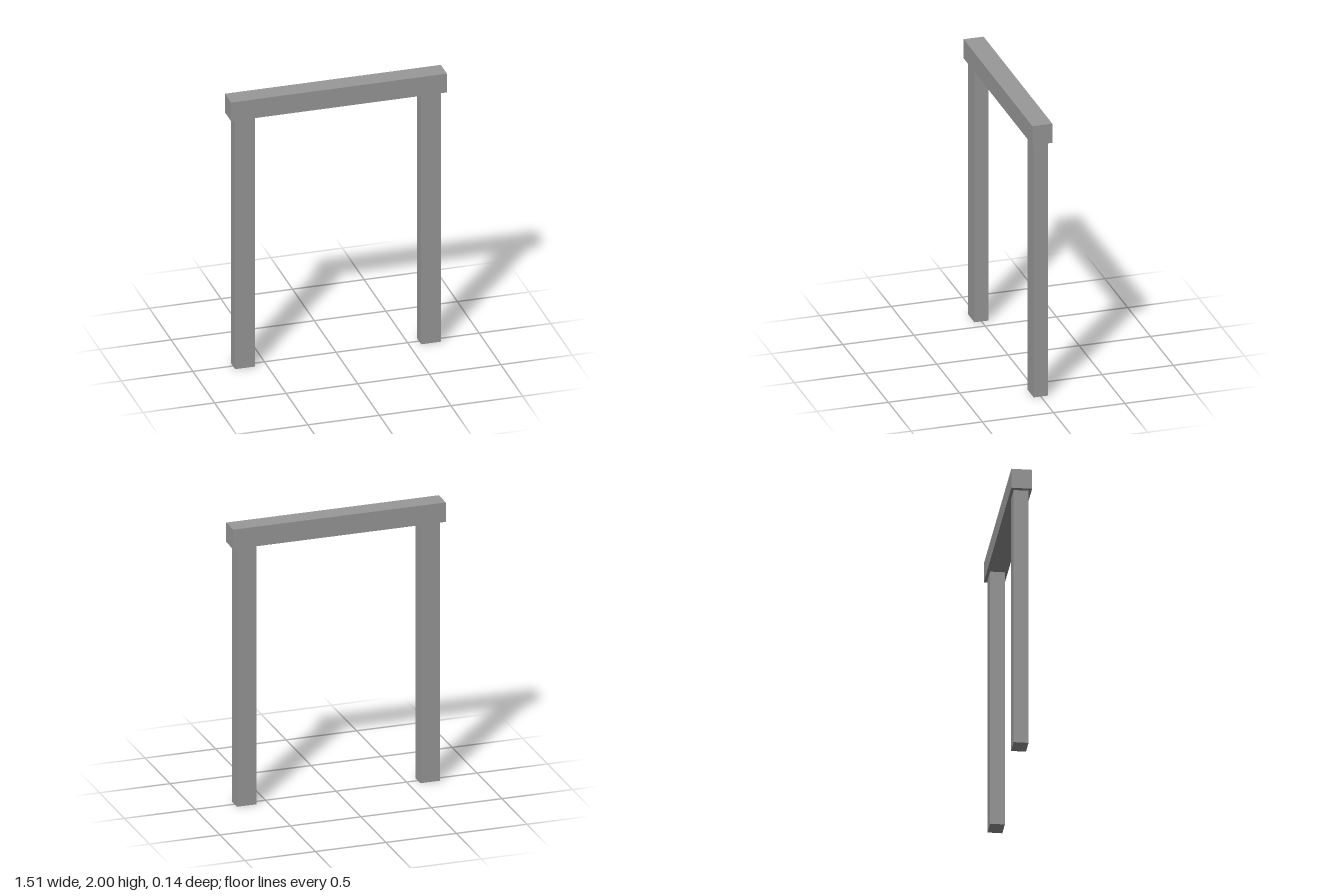
import * as THREE from 'three';

export function createModel() {
  const model = new THREE.Group();
  model.name = 'gateFrame';
  const stone = new THREE.MeshStandardMaterial({ color: 0x999999 });
  stone.name = 'grey';

  function block(name, w, h, d, x, y) {
    const mesh = new THREE.Mesh(new THREE.BoxGeometry(w, h, d), stone);
    mesh.name = name;
    mesh.position.set(x, y + h / 2, 0);
    model.add(mesh);
  }

  const postHeight = 1.86;

  // Two upright posts, wider than they are deep
  for (const side of [-1, 1]) {
    block(side > 0 ? 'leftPost' : 'rightPost', 0.14, postHeight, 0.1, side * 0.65, 0);
  }

  // Lintel overhanging the posts on every side
  block('lintel', 1.508, 2 - postHeight, 0.14, 0, postHeight);

  return model;
}
